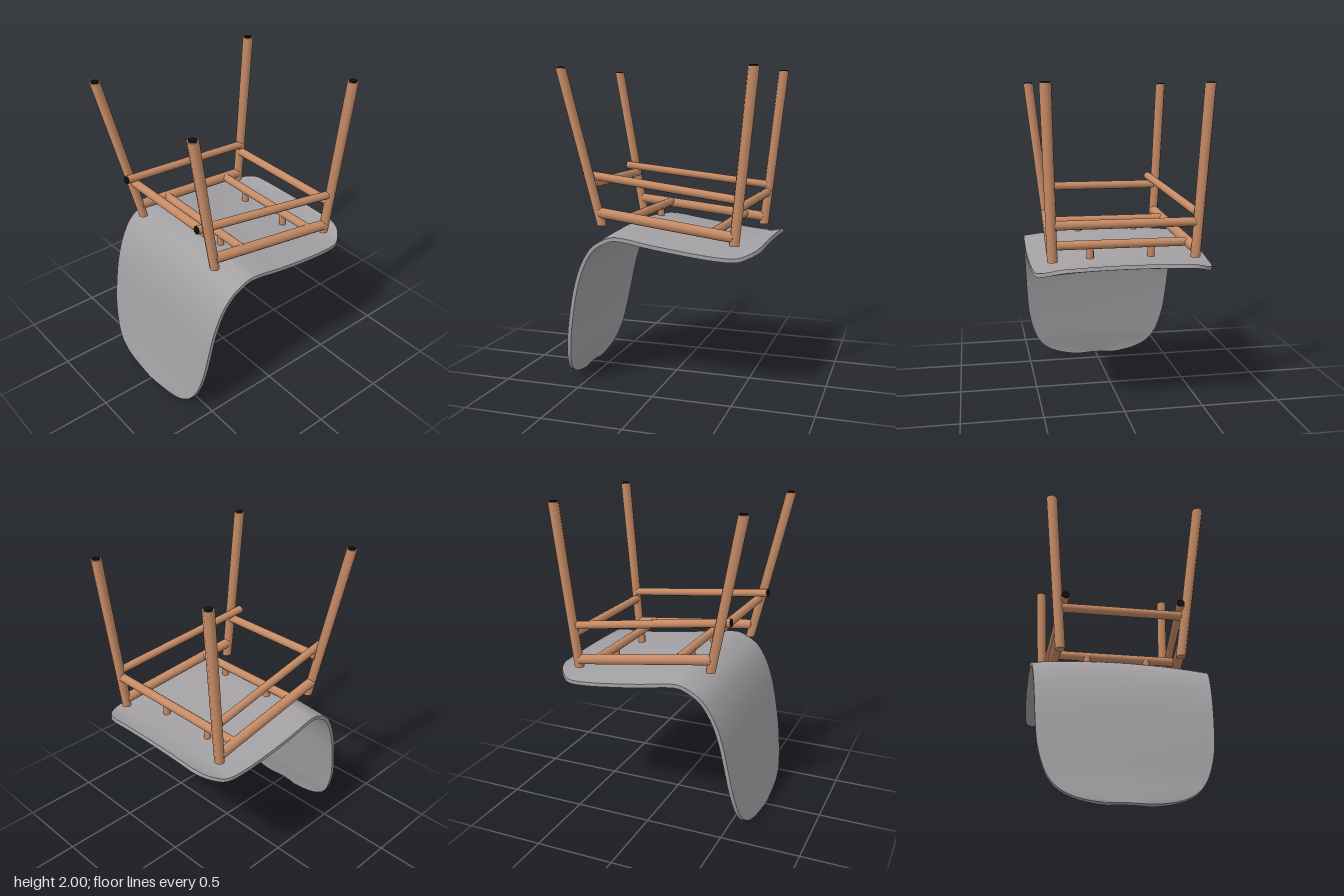
import * as THREE from 'three';
import { toCreasedNormals } from 'three/addons/utils/BufferGeometryUtils.js';

const wood = new THREE.MeshStandardMaterial({ color: 0xc68b65 });
wood.name = 'wood';
const shellGrey = new THREE.MeshStandardMaterial({ color: 0xa3a0a3 });
shellGrey.name = 'shellGrey';
const black = new THREE.MeshStandardMaterial({ color: 0x101010 });
black.name = 'black';

const V = (x, y, z) => new THREE.Vector3(x, y, z);

// Straight round rod between two points
function rod(name, a, b, radius, material = wood, sides = 12) {
  const d = b.clone().sub(a);
  const mesh = new THREE.Mesh(new THREE.CylinderGeometry(radius, radius, d.length(), sides), material);
  mesh.position.copy(a).add(b).multiplyScalar(0.5);
  mesh.quaternion.setFromUnitVectors(V(0, 1, 0), d.normalize());
  mesh.name = name;
  return mesh;
}

// Leaning leg whose ends stay horizontal, made by shearing a cylinder
function leg(name, foot, top) {
  const h = top.y - foot.y;
  const geo = new THREE.CylinderGeometry(0.034, 0.031, h, 8);
  geo.translate(0, h / 2, 0);
  const p = geo.attributes.position;
  for (let i = 0; i < p.count; i++) {
    const t = p.getY(i) / h;
    p.setXYZ(i, p.getX(i) + t * (top.x - foot.x), p.getY(i), p.getZ(i) + t * (top.z - foot.z));
  }
  const mesh = new THREE.Mesh(geo, wood);
  mesh.position.copy(foot);
  mesh.name = name;
  return mesh;
}

// One bent sheet: cross-sections swept from the seat edge to the tip of the backrest
function shellGeometry() {
  // half width, y, z of the centre line
  const path = new THREE.CatmullRomCurve3([
    [0.36, 0.957, -0.638], [0.44, 0.951, -0.615], [0.495, 0.946, -0.57], [0.535, 0.942, -0.51],
    [0.55, 0.948, -0.4], [0.558, 0.972, -0.2], [0.558, 1.0, 0], [0.553, 1.026, 0.16],
    [0.55, 1.026, 0.23], [0.546, 1.0, 0.3], [0.542, 0.935, 0.39], [0.532, 0.82, 0.46],
    [0.523, 0.67, 0.51], [0.513, 0.5, 0.545], [0.5, 0.36, 0.57], [0.475, 0.25, 0.588],
    [0.44, 0.16, 0.603], [0.385, 0.09, 0.619], [0.31, 0.045, 0.629], [0.22, 0.02, 0.635], [0.11, 0.008, 0.639],
  ].map(p => V(...p)));
  const rows = 80, cols = 16, thick = 0.024, rings = [];
  for (let i = 0; i <= rows; i++) {
    const t = i / rows, c = path.getPoint(t), d = path.getTangent(t);
    const len = Math.hypot(d.y, d.z);
    const ny = d.z / len, nz = -d.y / len;
    // sides sink most along the seat, little at both ends
    const dip = 0.008 + 0.03 * THREE.MathUtils.smoothstep(t, 0, 0.15) * (1 - THREE.MathUtils.smoothstep(t, 0.35, 0.65));
    const ring = [];
    for (let k = 0; k < 2 * (cols + 1); k++) {
      const under = k > cols;
      const u = (under ? 2 * cols + 1 - k : k) / cols * 2 - 1;
      const off = -dip * u * u - (under ? thick : 0);
      ring.push(V(c.x * u, c.y + ny * off, c.z + nz * off));
    }
    rings.push(ring);
  }
  const pos = [];
  const quad = (a, b, c, d) => [a, b, c, a, c, d].forEach(v => pos.push(v.x, v.y, v.z));
  const n = 2 * (cols + 1);
  for (let i = 0; i < rows; i++) {
    for (let j = 0; j < n; j++) {
      const k = (j + 1) % n;
      quad(rings[i][j], rings[i + 1][j], rings[i + 1][k], rings[i][k]);
    }
  }
  // Close both ends
  for (let j = 0; j < cols; j++) {
    const a = rings[0], b = rings[rows];
    quad(a[j], a[j + 1], a[n - 2 - j], a[n - 1 - j]);
    quad(b[n - 1 - j], b[n - 2 - j], b[j + 1], b[j]);
  }
  const geo = new THREE.BufferGeometry();
  geo.setAttribute('position', new THREE.Float32BufferAttribute(pos, 3));
  return toCreasedNormals(geo, 0.7);
}

export function createModel() {
  const model = new THREE.Group();
  model.name = 'upturnedChair';

  const shell = new THREE.Mesh(shellGeometry(), shellGrey);
  shell.name = 'seatShell';
  model.add(shell);

  for (const s of [1, -1]) {
    const side = s > 0 ? 'left' : 'right';
    // Legs with dark foot pads
    for (const [end, foot, top] of [
      ['Front', V(s * 0.375, 1.03, 0.37), V(s * 0.472, 1.993, 0.582)],
      ['Back', V(s * 0.435, 0.96, -0.492), V(s * 0.472, 1.993, -0.6)],
    ]) {
      model.add(leg(side + end + 'Leg', foot, top));
      model.add(rod(side + end + 'FootPad', top, V(top.x, 2, top.z), 0.025, black, 8));
    }

    // Upper side rail, running past the front leg with a dark plug
    const tip = V(s * 0.36, 1.347, 0.485), tail = V(s * 0.437, 1.232, -0.51);
    model.add(rod(side + 'UpperRail', tail, tip, 0.026));
    const out = tip.clone().sub(tail).normalize().multiplyScalar(0.006);
    model.add(rod(side + 'RailPlug', tip, tip.clone().add(out), 0.025, black, 8));

    // Lower side rail
    model.add(rod(side + 'LowerRail', V(s * 0.436, 1.01, -0.49), V(s * 0.384, 1.112, 0.38), 0.033));

    // Short posts joining the frame to the shell
    model.add(rod(side + 'FrontPost', V(s * 0.19, 1.0, 0.175), V(s * 0.19, 1.09, 0.175), 0.023));
    model.add(rod(side + 'BackPost', V(s * 0.19, 0.935, -0.357), V(s * 0.19, 1.025, -0.357), 0.023));
  }

  // Cross rails
  for (const [name, x, y, z] of [
    ['frontCrossRail', 0.39, 1.295, 0.418], ['backCrossRail', 0.435, 1.18, -0.513],
    ['frontSeatRail', 0.39, 1.093, 0.168], ['backSeatRail', 0.425, 1.03, -0.36],
  ]) model.add(rod(name, V(-x, y, z), V(x, y, z), 0.028));

  return model;
}
